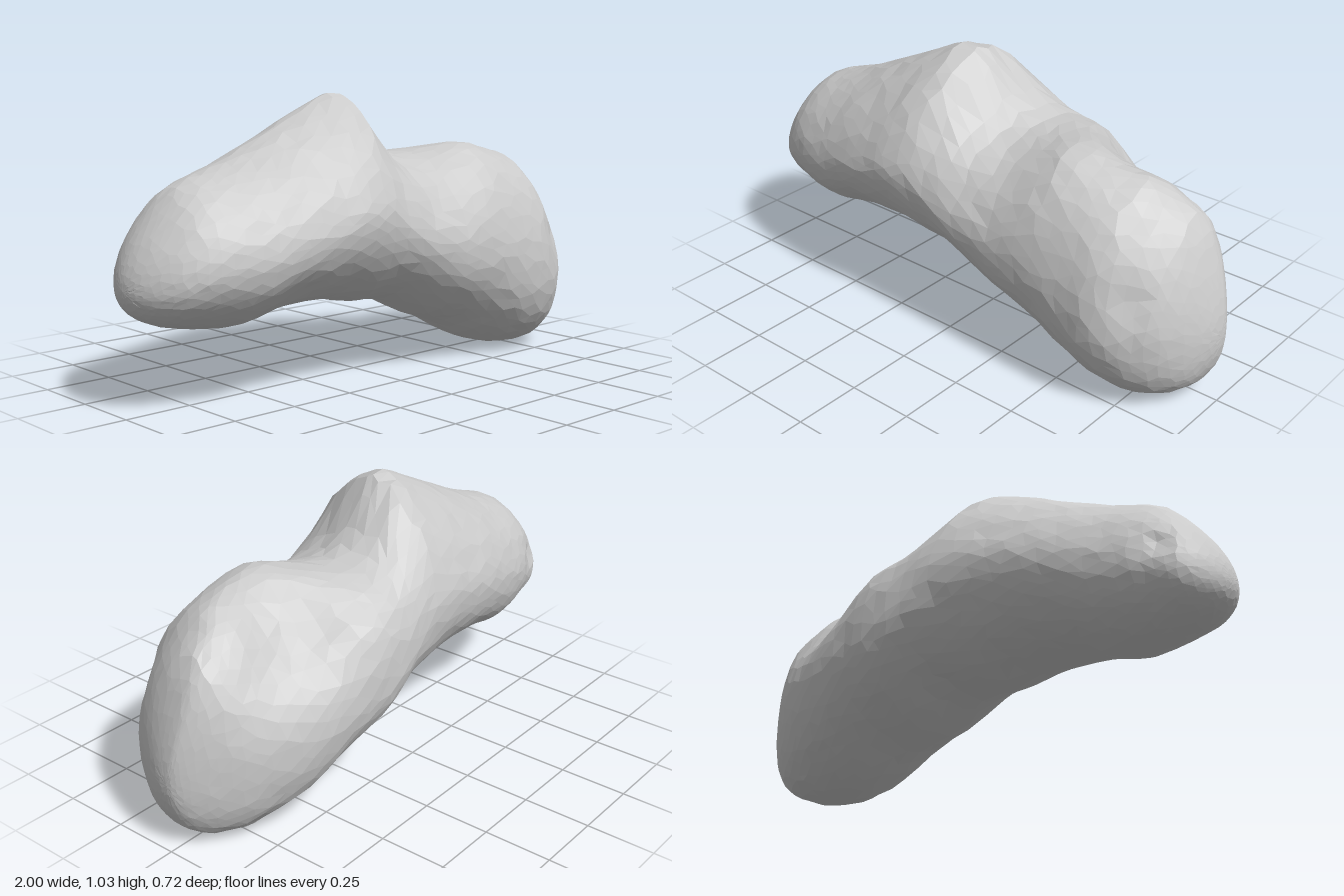
import * as THREE from 'three';

const RINGS = 48, SEGS = 38;

// Profiles along x: [x, value]
const top = [[-1, .42], [-.97, .53], [-.9, .635], [-.8, .74], [-.6, .815], [-.4, .905], [-.2, 1.0], [-.1, 1.033],
  [-.05, 1.01], [.02, .92], [.1, .84], [.2, .80], [.32, .81], [.45, .832], [.6, .80], [.72, .775], [.8, .72],
  [.87, .67], [.92, .58], [.97, .44], [1, .26]];
const bottom = [[-1, .42], [-.97, .345], [-.9, .30], [-.8, .275], [-.62, .255], [-.45, .29], [-.2, .295], [-.08, .268],
  [.08, .268], [.25, .18], [.4, .125], [.5, .07], [.6, .025], [.72, .002], [.83, .01], [.91, .045], [.96, .10], [1, .26]];
const back = [[-1, 0], [-.97, -.10], [-.9, -.185], [-.8, -.225], [-.6, -.275], [-.4, -.31], [0, -.35], [.2, -.363],
  [.4, -.35], [.6, -.31], [.8, -.22], [.9, -.145], [.97, -.07], [1, 0]];
const front = [[-1, 0], [-.97, .11], [-.9, .20], [-.8, .26], [-.6, .315], [-.2, .355], [0, .342], [.2, .345], [.5, .355],
  [.7, .352], [.8, .315], [.9, .235], [.97, .12], [1, 0]];
// Depth of the crest line
const crest = [[-1, 0], [-.1, 0], [.2, -.03], [.45, .08], [.7, .045], [.9, -.03], [1, 0]];
// Squareness of the four quarters of the cross-section
const backPower = [[-1, 2], [-.6, 1.8], [-.1, 1.6], [.1, 2.3], [.25, 2.8], [.45, 1.9], [.65, 1.6], [.85, 1.8], [1, 2]];
const frontPower = [[-1, 2], [-.6, 1.8], [-.1, 1.55], [.15, 1.85], [.45, 1.9], [.65, 1.95], [.85, 1.75], [1, 2]];
const lowBackPower = [[-1, 2.2], [0, 2.1], [.6, 2.2], [.85, 2.4], [1, 2.3]];
const lowFrontPower = [[-1, 2], [-.5, 1.8], [0, 1.9], [.6, 2.2], [.85, 2.4], [1, 2.3]];

// Shallow hollows and bumps: [x, y, z, radius, depth]
const dents = [[.52, .72, -.20, .15, .06], [.70, .62, -.20, .12, .025], [.08, .80, .12, .12, .02], [.80, .45, .30, .07, .02],
  [-.84, .52, -.20, .05, .025], [.11, .64, .33, .06, .012], [-.46, .36, .28, .06, .012], [.1, .28, .05, .1, -.01]];

const angleOf = (x) => Math.acos(THREE.MathUtils.clamp(-x, -1, 1));

// Smooth interpolation in the angle along the body, so both ends round off
function sample(list, t) {
  const a = list.map(([x]) => angleOf(x));
  let i = 0;
  while (i < list.length - 2 && t > a[i + 1]) i++;
  const slope = (k) => {
    const p = Math.max(k - 1, 0), n = Math.min(k + 1, list.length - 1);
    return (list[n][1] - list[p][1]) / (a[n] - a[p]);
  };
  const h = a[i + 1] - a[i], u = (t - a[i]) / h, u2 = u * u, u3 = u2 * u;
  return (2 * u3 - 3 * u2 + 1) * list[i][1] + (u3 - 2 * u2 + u) * h * slope(i)
    + (3 * u2 - 2 * u3) * list[i + 1][1] + (u3 - u2) * h * slope(i + 1);
}

function seeded(seed) {
  return () => {
    seed = (seed * 1664525 + 1013904223) >>> 0;
    return seed / 4294967296 - .5;
  };
}

// One point of the cross-section, made of four superellipse quarters
function surfacePoint(t, angle) {
  const c = Math.cos(angle), s = Math.sin(angle);
  const yt = sample(top, t), yb = sample(bottom, t);
  const zf = sample(front, t), zb = sample(back, t);
  const mid = yb + (yt - yb) * .45;
  const zc = s > 0 ? THREE.MathUtils.clamp(sample(crest, t), zb * .6, zf * .6) : 0;
  const power = s < 0 ? (c < 0 ? lowBackPower : lowFrontPower) : (c < 0 ? backPower : frontPower);
  const pow = (v) => Math.pow(Math.abs(v), 2 / sample(power, t));
  const p = new THREE.Vector3(-Math.cos(t),
    mid + (s > 0 ? yt - mid : yb - mid) * pow(s),
    zc + (c > 0 ? zf - zc : zb - zc) * pow(c));
  // The saddle beside the peak runs slightly askew
  p.x -= .15 * p.z * Math.exp(-p.x * p.x * 20);
  const inward = new THREE.Vector3(0, mid - p.y, -p.z).normalize();
  for (const [x, y, z, r, depth] of dents) {
    const d = p.distanceTo(new THREE.Vector3(x, y, z)) / r;
    p.addScaledVector(inward, depth * Math.exp(-d * d));
  }
  return p;
}

function rockGeometry() {
  const rnd = seeded(7);
  const pos = [-1, .42, 0], index = [];
  for (let i = 1; i < RINGS; i++) {
    for (let j = 0; j < SEGS; j++) {
      // Staggered, slightly irregular grid gives uneven facets
      const t = (i + rnd() * .5) / RINGS * Math.PI;
      const a = (j + (i % 2) * .5 + rnd() * .5) / SEGS * Math.PI * 2;
      const p = surfacePoint(t, a);
      const rough = 1 + rnd() * .014;
      pos.push(p.x, .45 + (p.y - .45) * rough, p.z * rough);
    }
  }
  const last = pos.length / 3;
  pos.push(1, .26, 0);
  const id = (i, j) => 1 + (i - 1) * SEGS + (j + SEGS) % SEGS;
  for (let j = 0; j < SEGS; j++) {
    index.push(0, id(1, j), id(1, j + 1));
    index.push(last, id(RINGS - 1, j + 1), id(RINGS - 1, j));
    for (let i = 1; i < RINGS - 1; i++) {
      const a = id(i, j), b = id(i, j + 1), c = id(i + 1, j), d = id(i + 1, j + 1);
      if (i % 2) index.push(a, c, d, a, d, b);
      else index.push(a, c, b, b, c, d);
    }
  }
  const g = new THREE.BufferGeometry();
  g.setAttribute('position', new THREE.Float32BufferAttribute(pos, 3));
  g.setIndex(index);
  g.computeVertexNormals();
  return g;
}

export function createModel() {
  const group = new THREE.Group();
  group.name = 'asteroid';
  const rock = new THREE.Mesh(rockGeometry(),
    new THREE.MeshStandardMaterial({ color: 0xcccccc, flatShading: true, roughness: .9 }));
  rock.name = 'rockBody';
  group.add(rock);
  return group;
}
